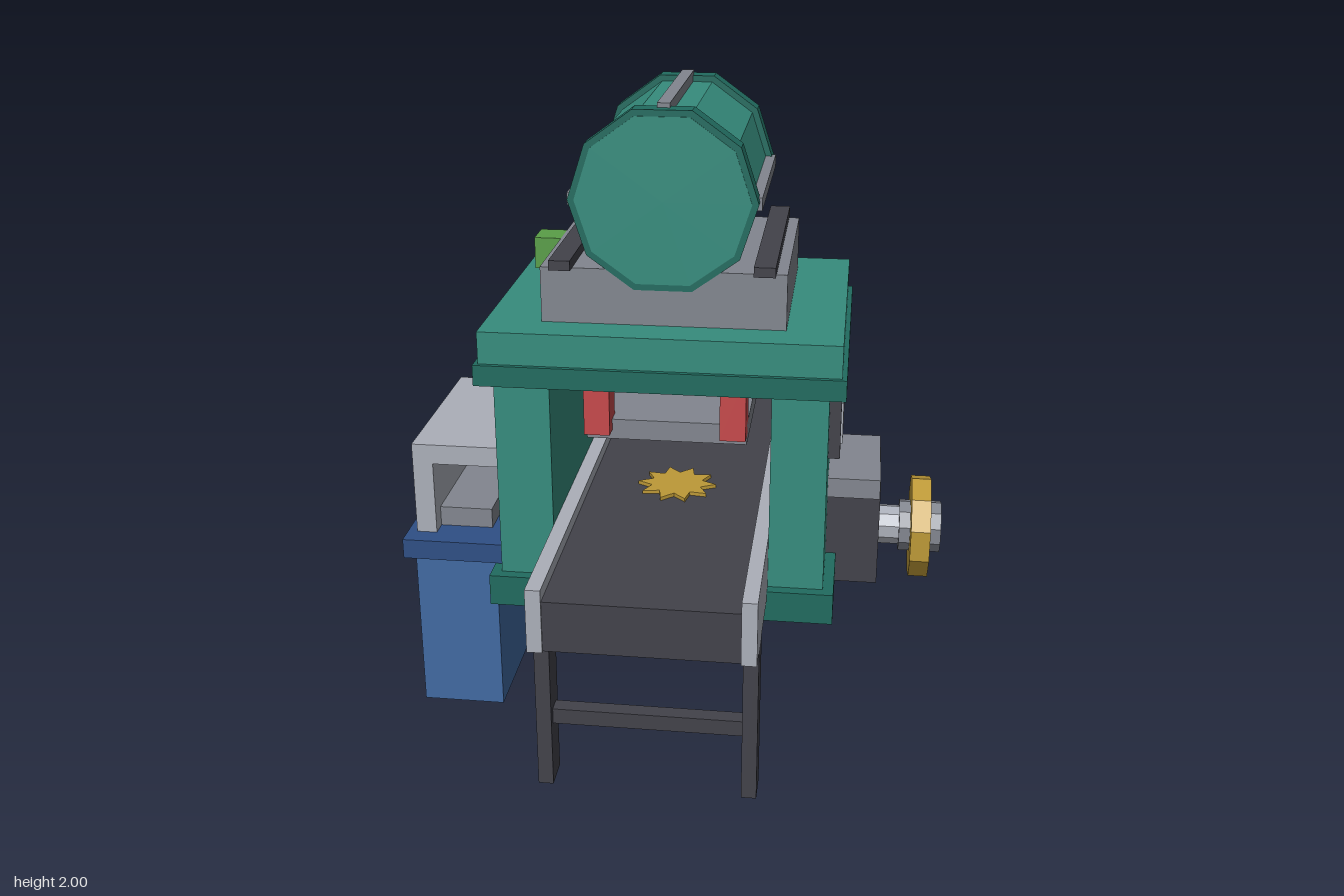
import * as THREE from 'three';

const mat = (name, color) => {
  const m = new THREE.MeshStandardMaterial({ color });
  m.name = name;
  return m;
};

export function createModel() {
  const model = new THREE.Group();
  model.name = 'stampingMachine';
  const green = mat('green', 0x368c7d), darkGreen = mat('darkGreen', 0x216b5f);
  const charcoal = mat('charcoal', 0x42424a), steel = mat('steel', 0x82868f);
  const lightGrey = mat('lightGrey', 0xabafb9), blue = mat('blue', 0x4169a1);
  const navy = mat('navy', 0x2f4f85), gold = mat('gold', 0xbd9937);
  const red = mat('red', 0xc6494b), lime = mat('lime', 0x5a9e48);

  const add = (name, geo, material) => {
    const mesh = new THREE.Mesh(geo, material);
    mesh.name = name;
    model.add(mesh);
    return mesh;
  };
  // box given by its extents on each axis
  const box = (name, material, [x0, x1], [y0, y1], [z0, z1]) => {
    const mesh = add(name, new THREE.BoxGeometry(x1 - x0, y1 - y0, z1 - z0), material);
    mesh.position.set((x0 + x1) / 2, (y0 + y1) / 2, (z0 + z1) / 2);
    return mesh;
  };
  const sym = (h) => [-h, h];
  // faceted ten-sided cylinder lying along x or z
  const drum = (name, material, r, length, axis, x, y, z) => {
    const geo = new THREE.CylinderGeometry(r, r, length, 10, 1, false, Math.PI / 2).toNonIndexed();
    geo.computeVertexNormals();
    if (axis === 'z') geo.rotateX(Math.PI / 2);
    else geo.rotateZ(Math.PI / 2);
    add(name, geo, material).position.set(x, y, z);
  };
  const cx = -0.018; // centre line of the press

  // Frame: two columns with feet, and a stepped crown
  for (const s of [-1, 1]) {
    const c = cx + s * 0.418;
    box('column', green, [c - 0.085, c + 0.085], [0.5, 1.19], sym(0.42));
    box('foot', darkGreen, [c - 0.118, c + 0.118], [0.44, 0.54], sym(0.455));
  }
  box('crownRim', darkGreen, [cx - 0.552, cx + 0.552], [1.18, 1.245], sym(0.47));
  box('crown', green, [cx - 0.538, cx + 0.538], [1.245, 1.345], sym(0.455));

  // Motor base, slide rails and drum
  box('motorBase', steel, [cx - 0.367, cx + 0.367], [1.345, 1.515], sym(0.335));
  for (const s of [-1, 1]) {
    const c = cx + s * 0.302;
    box('slideRail', charcoal, [c - 0.032, c + 0.032], [1.515, 1.545], sym(0.37));
    drum('motorEndCap', darkGreen, 0.28, 0.067, 'z', cx, 1.72, s * 0.302);
    const b = cx + s * 0.262;
    box('motorSideBar', steel, [b - 0.025, b + 0.025], [1.695, 1.733], sym(0.3));
  }
  drum('motorBody', green, 0.26, 0.675, 'z', cx, 1.72, 0);
  box('motorTopBar', steel, [cx - 0.019, cx + 0.019], [1.95, 2], sym(0.3));

  // Signal lamp beside the motor base
  box('lampStem', steel, [-0.455, -0.385], [1.345, 1.415], [-0.075, 0]);
  box('lamp', lime, [-0.47, -0.385], [1.415, 1.515], [-0.09, 0.015]);

  // Ram: plate hung from red posts
  box('ramPlate', steel, [cx - 0.25, cx + 0.25], [0.945, 1.01], sym(0.265));
  for (const sx of [-1, 1]) for (const sz of [-1, 1]) {
    const x = cx + sx * 0.21, z = sz * 0.265;
    box('ramPost', red, [x - 0.04, x + 0.04], [0.975, 1.19], [z - 0.05, z + 0.05]);
  }

  // Conveyor with side rails, legs and cross bars
  box('belt', charcoal, [cx - 0.288, cx + 0.288], [0.512, 0.672], sym(0.835));
  for (const sx of [-1, 1]) {
    const x = cx + sx * 0.31;
    box('beltRail', lightGrey, [x - 0.023, x + 0.023], [0.508, 0.71], sym(0.84));
    for (const sz of [-1, 1]) {
      box('conveyorLeg', charcoal, [x - 0.023, x + 0.023], [0, 0.51], [sz * 0.705 - 0.05, sz * 0.705 + 0.05]);
    }
  }
  for (const sz of [-1, 1]) {
    box('legCrossBar', charcoal, [cx - 0.29, cx + 0.29], [0.2, 0.25], [sz * 0.705 - 0.025, sz * 0.705 + 0.025]);
  }

  // Toothed blank lying on the belt
  const star = new THREE.Shape();
  for (let i = 0; i < 20; i++) {
    const r = i % 2 ? 0.085 : 0.13, a = (i / 20) * Math.PI * 2;
    star[i ? 'lineTo' : 'moveTo'](r * Math.cos(a), r * Math.sin(a));
  }
  star.closePath();
  const blank = new THREE.ExtrudeGeometry(star, { depth: 0.012, bevelEnabled: false });
  blank.rotateX(-Math.PI / 2);
  add('toothedBlank', blank, gold).position.set(cx, 0.672, 0);

  // Display on the side of the column
  box('displayFrame', charcoal, [0.48, 0.52], [0.945, 1.145], [0.065, 0.34]);
  box('displayScreen', lightGrey, [0.518, 0.526], [0.98, 1.11], [0.103, 0.302]);

  // Gearbox with handwheel
  box('gearbox', charcoal, [0.48, 0.652], [0.44, 0.775], sym(0.168));
  box('gearboxLid', steel, [0.48, 0.65], [0.745, 0.81], sym(0.185));
  drum('wheelShaft', lightGrey, 0.065, 0.1, 'x', 0.69, 0.573, 0);
  drum('wheelHub', steel, 0.085, 0.135, 'x', 0.7865, 0.573, 0);
  drum('handwheel', gold, 0.168, 0.062, 'x', 0.786, 0.573, 0);

  // Side cabinet with hooded feeder
  box('cabinet', blue, [-0.825, -0.56], [0, 0.54], sym(0.335));
  box('cabinetTop', navy, [-0.855, -0.525], [0.54, 0.605], sym(0.37));
  box('hoodWall', lightGrey, [-0.825, -0.76], [0.605, 0.845], sym(0.305));
  box('hoodRoof', lightGrey, [-0.825, -0.52], [0.845, 0.91], sym(0.305));
  box('feederBlock', steel, [-0.76, -0.59], [0.605, 0.67], sym(0.25));

  return model;
}
